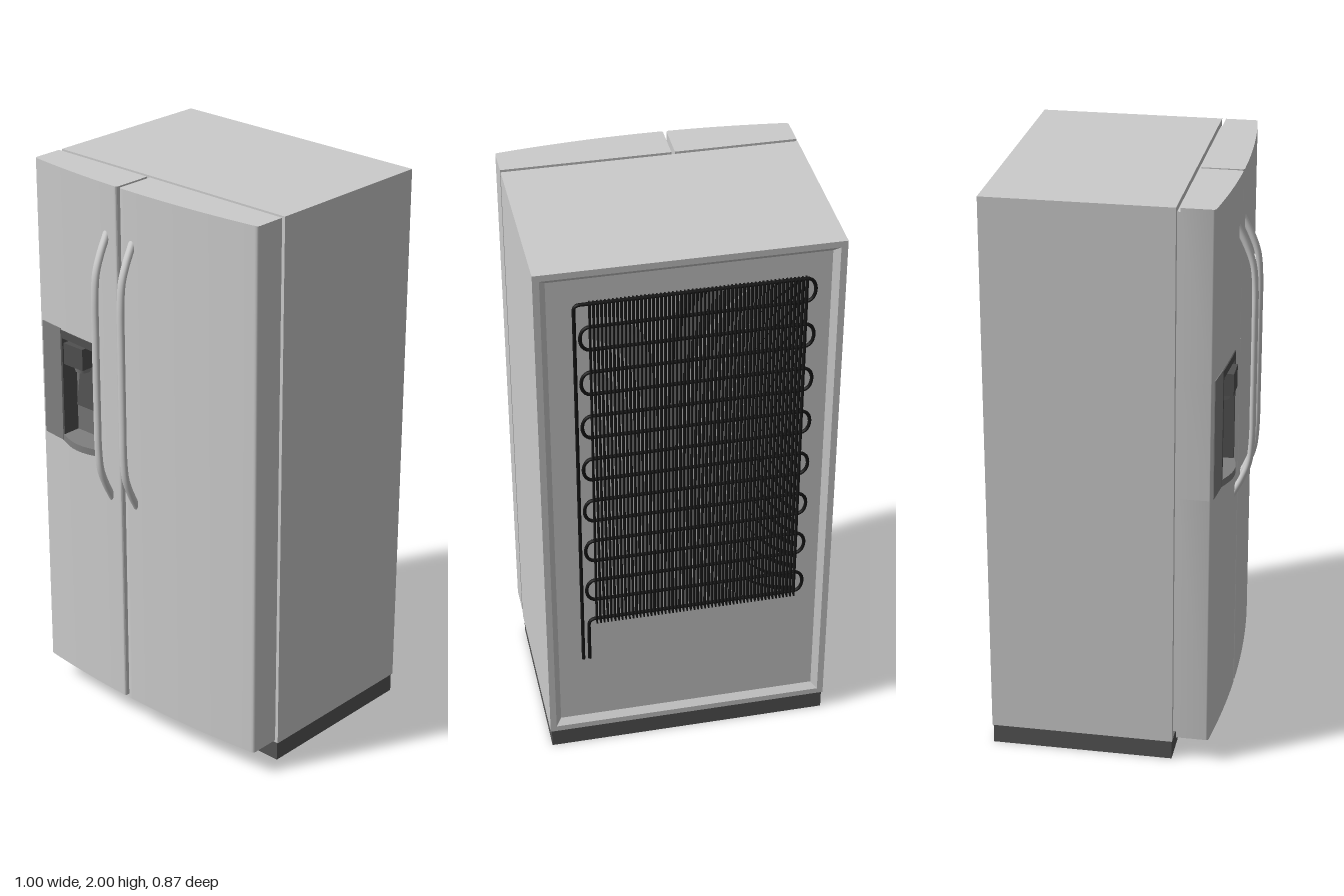
import * as THREE from 'three';
import { toCreasedNormals } from 'three/addons/utils/BufferGeometryUtils.js';

const mat = (color, extra = {}) => new THREE.MeshStandardMaterial({ color, ...extra });
const GREY = mat(0xcccccc);
const PLINTH = mat(0x555555);
const PANEL = mat(0x808080);
const RECESS = mat(0x747474);
const DARK = mat(0x505050);
const BLACK = mat(0x141414);

function add(parent, name, geometry, material) {
  const mesh = new THREE.Mesh(geometry, material);
  mesh.name = name;
  parent.add(mesh);
  return mesh;
}

// Box given by its limits on each axis
function box(parent, name, [x0, x1], [y0, y1], [z0, z1], material) {
  const g = new THREE.BoxGeometry(x1 - x0, y1 - y0, z1 - z0);
  g.translate((x0 + x1) / 2, (y0 + y1) / 2, (z0 + z1) / 2);
  return add(parent, name, g, material);
}

// Upright slab with a flat back and a front that follows z = front(x)
function slab(parent, name, [x0, x1], [y0, y1], back, front, material) {
  const shape = new THREE.Shape();
  const n = 32;
  shape.moveTo(x0, -back);
  for (let i = 0; i <= n; i++) {
    const x = x0 + (x1 - x0) * (1 - Math.cos((Math.PI * i) / n)) / 2;
    shape.lineTo(x, -front(x));
  }
  shape.lineTo(x1, -back);
  shape.closePath();
  const g = new THREE.ExtrudeGeometry(shape, { depth: y1 - y0, bevelEnabled: false });
  g.rotateX(-Math.PI / 2).translate(0, y0, 0);
  return add(parent, name, toCreasedNormals(g, 0.7), material);
}

// Gently bowed front shared by both doors, with softened vertical edges
const bow = (x) => 0.372 - 0.128 * x * x;
const doorFront = (x0, x1, r = 0.008) => (x) => {
  const d = Math.max(0, Math.min(x - x0, x1 - x));
  return bow(x) - (d < r ? r - Math.sqrt(r * r - (r - d) ** 2) : 0);
};

// Skin through rectangular sections [halfWidth, bottom, top, z], capped at both ends
function rectLoft(sections) {
  const rings = sections.map(([w, b, t, z]) => [[-w, b, z], [w, b, z], [w, t, z], [-w, t, z]]);
  const pos = [];
  const quad = (a, b, c, d) => pos.push(...a, ...b, ...c, ...a, ...c, ...d);
  const last = rings[rings.length - 1];
  quad(...rings[0]);
  for (let i = 0; i + 1 < rings.length; i++) {
    for (let k = 0; k < 4; k++) {
      const j = (k + 1) % 4;
      quad(rings[i][k], rings[i + 1][k], rings[i + 1][j], rings[i][j]);
    }
  }
  quad(last[3], last[2], last[1], last[0]);
  const g = new THREE.BufferGeometry();
  g.setAttribute('position', new THREE.Float32BufferAttribute(pos, 3));
  g.computeVertexNormals();
  return g;
}

function buildDispenser(parent) {
  const g = new THREE.Group();
  g.name = 'dispenser';
  parent.add(g);
  const x0 = -0.385, x1 = -0.195;
  const bulge = (x) => bow(x) + 0.003 + 0.022 * Math.sin((Math.PI * (x - x0)) / (x1 - x0));
  slab(g, 'controlPanel', [-0.485, x0], [1.0, 1.42], 0.33, (x) => bow(x) + 0.003, PANEL);
  box(g, 'recessBack', [x0, x1], [1.0, 1.415], [0.28, 0.292], RECESS);
  for (const [a, b] of [[x0, x0 + 0.009], [x1 - 0.009, x1]]) {
    slab(g, 'recessSide', [a, b], [1.0, 1.415], 0.285, (x) => bow(x) + 0.004, DARK);
  }
  slab(g, 'recessTop', [x0, x1], [1.387, 1.415], 0.285, (x) => bow(x) + 0.004, DARK);
  slab(g, 'dripTray', [x0, x1], [1.0, 1.025], 0.285, bulge, PANEL);
  // Nozzle housing, spout and paddle
  box(g, 'nozzleHousing', [-0.34, -0.25], [1.31, 1.388], [0.29, 0.385], DARK);
  const spout = new THREE.CylinderGeometry(0.032, 0.026, 0.026, 20);
  spout.translate(-0.295, 1.298, 0.34);
  add(g, 'spout', spout, PANEL);
  const paddle = new THREE.BoxGeometry(0.088, 0.15, 0.01);
  paddle.rotateX(-0.15).translate(-0.295, 1.215, 0.315);
  add(g, 'paddle', paddle, DARK);
}

function buildHandle(parent, x) {
  const squash = 0.75;
  const side = [[0.86, 0.36], [0.93, 0.395], [0.99, 0.416], [1.07, 0.424], [1.2, 0.425]];
  const pts = [...side, ...side.map(([y, z]) => [2.69 - y, z]).reverse()];
  const path = new THREE.CatmullRomCurve3(
    pts.map(([y, z]) => new THREE.Vector3(0, y, z / squash)), false, 'centripetal');
  const g = new THREE.TubeGeometry(path, 64, 0.0145, 16);
  g.scale(1, 1, squash).translate(x, 0, 0);
  add(parent, 'handle', g, GREY);
}

function buildCondenser(parent) {
  const g = new THREE.Group();
  g.name = 'condenser';
  parent.add(g);
  const xl = 0.325, xr = -0.37, z = -0.42, rows = 16, top = 1.877, step = 0.0865;
  const path = new THREE.CurvePath();
  const v = (x, y) => new THREE.Vector3(x, y, z);
  const line = (a, b) => path.add(new THREE.LineCurve3(a, b));
  // Down pipe, then the serpentine rows joined by U bends
  line(v(0.374, 0.4), v(0.374, top - 0.02));
  path.add(new THREE.QuadraticBezierCurve3(v(0.374, top - 0.02), v(0.374, top), v(0.354, top)));
  line(v(0.354, top), v(xl, top));
  for (let i = 0; i < rows; i++) {
    const y = top - i * step;
    const toRight = i % 2 === 0;
    const end = toRight ? xr : xl;
    line(v(toRight ? xl : xr, y), v(end, y));
    if (i < rows - 1) {
      const out = end + (toRight ? -0.042 : 0.042);
      path.add(new THREE.CubicBezierCurve3(v(end, y), v(out, y), v(out, y - step), v(end, y - step)));
    }
  }
  // Outlet that turns down beside the down pipe
  const low = top - (rows - 1) * step;
  path.add(new THREE.QuadraticBezierCurve3(v(xl, low), v(0.352, low), v(0.352, low - 0.03)));
  line(v(0.352, low - 0.03), v(0.352, 0.4));
  // One tube per path piece keeps the bends crisp
  const pipe = new THREE.Group();
  pipe.name = 'coolingPipe';
  g.add(pipe);
  for (const c of path.curves) {
    add(pipe, 'pipePiece', new THREE.TubeGeometry(c, c.isLineCurve3 ? 1 : 12, 0.006, 8), BLACK);
  }
  // Upright cooling fins
  const fins = 56;
  for (let i = 0; i < fins; i++) {
    const x = xr + ((xl - xr) * i) / (fins - 1);
    box(g, 'fin', [x - 0.0025, x + 0.0025], [0.57, 1.885], [-0.438, -0.415], BLACK);
  }
}

export function createModel() {
  const model = new THREE.Group();
  model.name = 'refrigerator';

  // Cabinet with a shallow bevelled recess in the back
  add(model, 'cabinet', rectLoft([
    [0.5, 0.07, 2.0, 0.215],
    [0.5, 0.07, 2.0, -0.42],
    [0.478, 0.092, 1.978, -0.42],
    [0.458, 0.112, 1.958, -0.4],
  ]), GREY);
  box(model, 'plinth', [-0.495, 0.495], [0, 0.07], [-0.417, 0.213], PLINTH);
  box(model, 'doorSeal', [-0.478, 0.475], [0.1, 1.98], [0.21, 0.231], GREY);

  // Right-hand freezer door, built around the dispenser opening
  const freezer = new THREE.Group();
  freezer.name = 'freezerDoor';
  model.add(freezer);
  const fx = [-0.5, -0.085], back = 0.229;
  const ff = doorFront(...fx);
  slab(freezer, 'lowerDoor', fx, [0.09, 1.0], back, ff, GREY);
  slab(freezer, 'upperDoor', fx, [1.415, 2.0], back, ff, GREY);
  slab(freezer, 'outerDoorSide', [-0.5, -0.385], [1.0, 1.415], back, ff, GREY);
  slab(freezer, 'innerDoorSide', [-0.195, -0.085], [1.0, 1.415], back, ff, GREY);
  box(freezer, 'doorBack', [-0.385, -0.195], [1.0, 1.415], [back, 0.282], GREY);
  buildDispenser(freezer);
  buildHandle(freezer, -0.142);

  // Left-hand fridge door
  const fridge = new THREE.Group();
  fridge.name = 'fridgeDoor';
  model.add(fridge);
  slab(fridge, 'door', [-0.073, 0.5], [0.09, 2.0], back, doorFront(-0.073, 0.5), GREY);
  buildHandle(fridge, -0.022);

  buildCondenser(model);
  return model;
}
